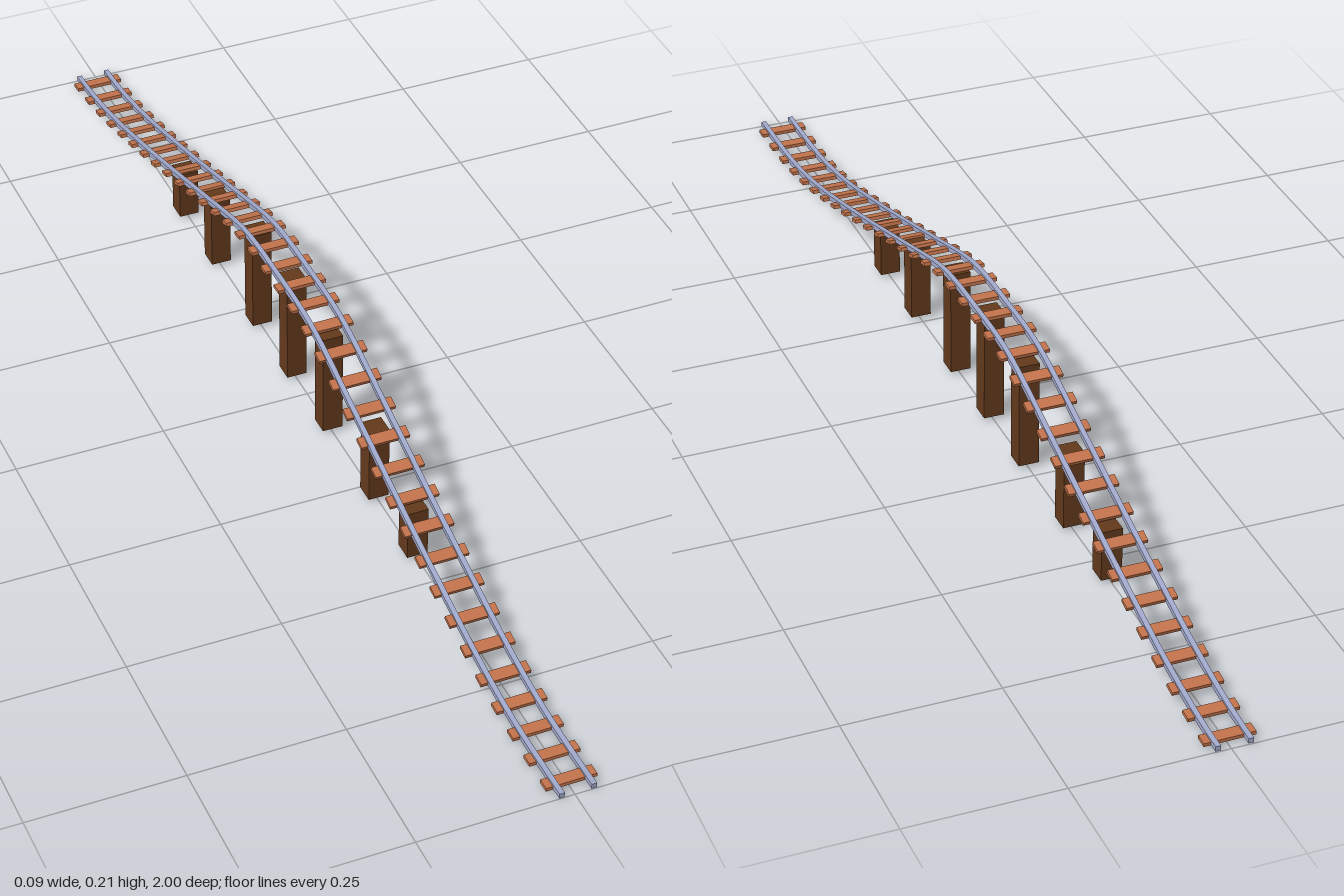
import * as THREE from 'three';

// half of the hill profile: [distance from summit, height of sleeper centre]
const HALF = [[0.08, 0.2025], [0.15, 0.195], [0.335, 0.143], [0.485, 0.099], [0.6, 0.067],
  [0.75, 0.029], [0.85, 0.011], [0.93, 0.004], [1.07, 0.003]];
const SUMMIT_Z = -0.06;

const pts = [
  ...HALF.slice().reverse().map(([d, y]) => new THREE.Vector3(0, y, -d)),
  new THREE.Vector3(0, 0.203, 0),
  ...HALF.map(([d, y]) => new THREE.Vector3(0, y, d)),
];
const samples = new THREE.CatmullRomCurve3(pts, false, 'centripetal').getPoints(600);

// track height at a given z
function heightAt(z) {
  const d = z - SUMMIT_Z;
  let i = samples.findIndex((p) => p.z >= d);
  i = Math.min(Math.max(i, 1), samples.length - 1);
  const a = samples[i - 1], b = samples[i];
  return THREE.MathUtils.lerp(a.y, b.y, (d - a.z) / (b.z - a.z));
}
const slopeAt = (z) => (heightAt(z + 0.01) - heightAt(z - 0.01)) / 0.02;

// rail: its side outline follows the hill and is extruded across x
function railGeometry(width, low, high) {
  const n = 90, top = [], bottom = [];
  for (let i = 0; i <= n; i++) {
    const z = 1 - (2 * i) / n, y = heightAt(z);
    bottom.push(new THREE.Vector2(-z, y + low));
    top.push(new THREE.Vector2(-z, y + high));
  }
  const shape = new THREE.Shape([...bottom, ...top.reverse()]);
  const geo = new THREE.ExtrudeGeometry(shape, { depth: width, bevelEnabled: false, steps: 1 });
  geo.translate(0, 0, -width / 2);
  geo.rotateY(Math.PI / 2);
  return geo;
}

export function createModel() {
  const mat = (name, color) => {
    const m = new THREE.MeshStandardMaterial({ color });
    m.name = name;
    return m;
  };
  const steel = mat('rail steel', 0xa3abce);
  const wood = mat('sleeper wood', 0xc4744c);
  const darkWood = mat('pillar wood', 0x643a1c);

  const model = new THREE.Group();
  model.name = 'hillTrack';
  const track = new THREE.Group();
  track.name = 'track';
  track.rotation.y = 0.005;
  model.add(track);

  const add = (parent, name, geo, material, x, y, z) => {
    const mesh = new THREE.Mesh(geo, material);
    mesh.name = name;
    mesh.position.set(x, y, z);
    parent.add(mesh);
    return mesh;
  };

  // two rails
  const railGeo = railGeometry(0.0085, -0.002, 0.0065);
  add(track, 'leftRail', railGeo, steel, 0.0257, 0, 0);
  add(track, 'rightRail', railGeo, steel, -0.0257, 0, 0);

  // sleepers, tilted with the slope
  const sleeperGeo = new THREE.BoxGeometry(0.082, 0.006, 0.02);
  const COUNT = 36;
  for (let i = 0; i < COUNT; i++) {
    const z = THREE.MathUtils.lerp(0.969, -0.974, i / (COUNT - 1));
    const s = add(track, 'sleeper', sleeperGeo, wood, 0, heightAt(z), z);
    s.rotation.x = -Math.atan(slopeAt(z));
  }

  // square pillars, ending just under the track
  const BASE = 0.007;
  for (const z of [0.425, 0.275, 0.09, -0.06, -0.21, -0.395, -0.545]) {
    const h = heightAt(z) - 0.005 - BASE;
    add(model, 'pillar', new THREE.BoxGeometry(0.034, h, 0.034), darkWood, 0, BASE + h / 2, z);
  }
  return model;
}
